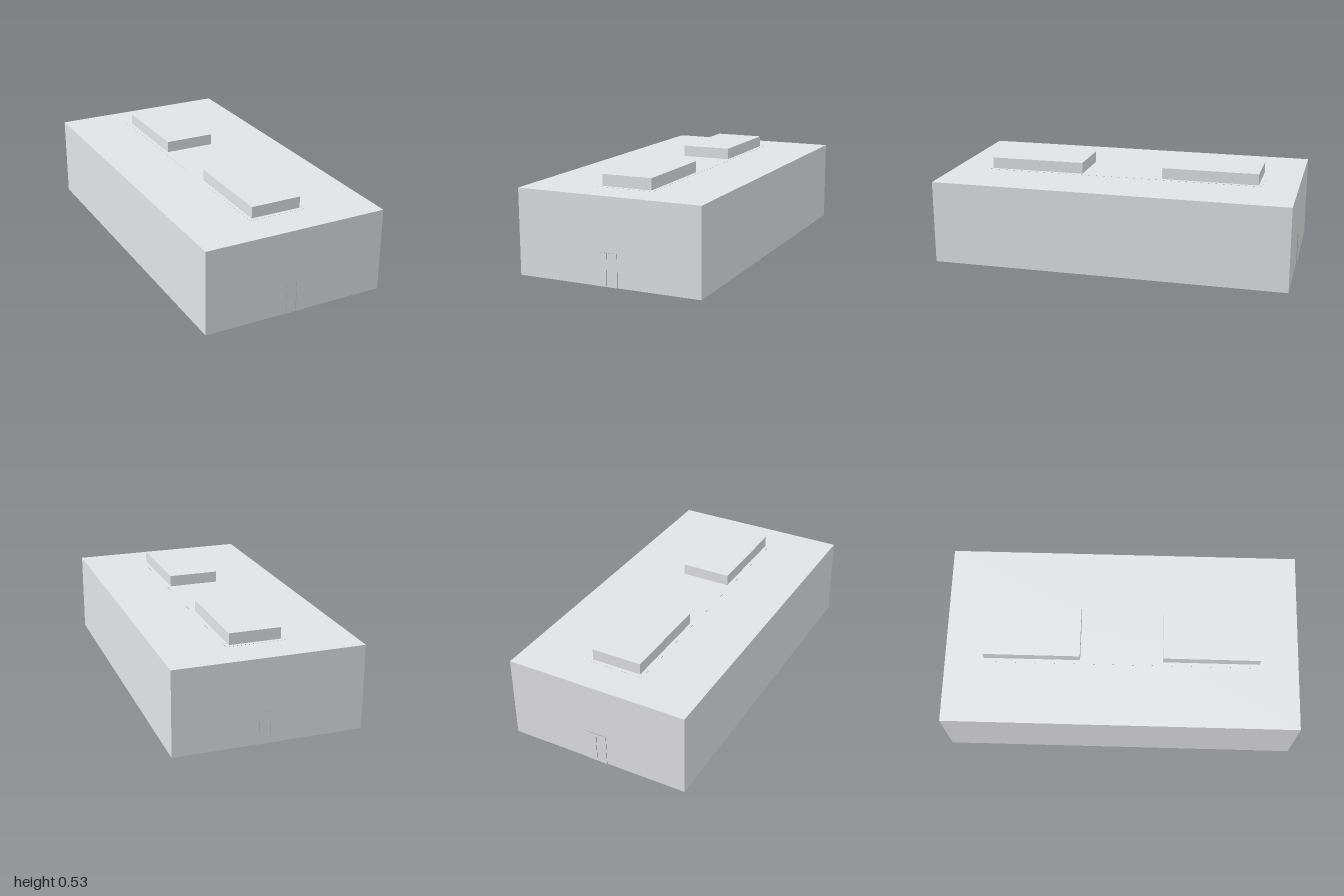
import * as THREE from 'three';

export function createModel() {
  const group = new THREE.Group();
  const material = (name, color) => {
    const m = new THREE.MeshStandardMaterial({ color });
    m.name = name;
    return m;
  };
  const paleGrey = material('paleGrey', 0xe2e3e5);
  const darkGrey = material('darkGrey', 0x91918c);

  // Box standing on y, centred on x and z; the faces listed in dark are dark grey
  // (face order: +x, -x, +y, -y, +z, -z)
  const box = (name, w, h, d, x, y, z, dark = []) => {
    const faces = [0, 1, 2, 3, 4, 5].map((i) => (dark.includes(i) ? darkGrey : paleGrey));
    const mesh = new THREE.Mesh(new THREE.BoxGeometry(w, h, d), faces);
    mesh.name = name;
    mesh.position.set(x, y + h / 2, z);
    group.add(mesh);
  };

  const wallZ = 0.997, wallTop = 0.468;
  // Main hall with a dark underside
  box('building', 1.036, wallTop, wallZ * 2, 0, 0, 0, [3]);

  // Very thin dark-edged pad on the roof under both skylights
  box('roofPad', 0.33, 0.0005, 1.6, 0, wallTop, 0, [0, 1, 4, 5]);

  for (const end of [1, -1]) {
    box('skylight', 0.286, 0.064, 0.544, 0, wallTop, end * 0.506);
    // Double door: two leaves with dark edges and a narrow gap
    for (const side of [1, -1]) {
      box('doorLeaf', 0.054, 0.178, 0.003, side * 0.03, 0, end * (wallZ + 0.0015), [0, 1, 2, 3]);
    }
  }
  return group;
}
